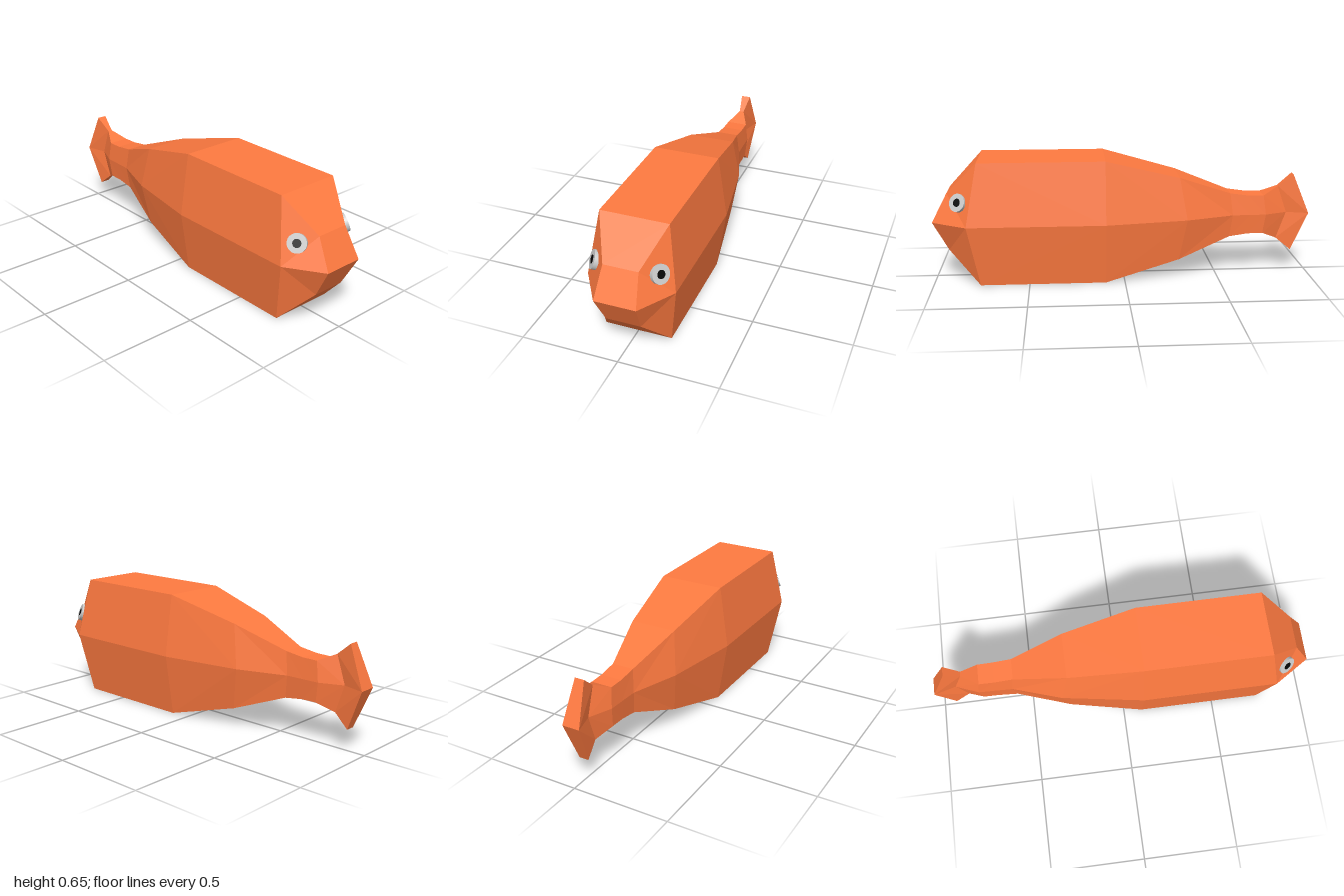
import * as THREE from 'three';

const MID_Y = 0.325;

// Hexagonal sections, nose to tail:
// [half height, ridge half width, ridge z, flank half width, flank z]
const BODY = [
  [0.153, 0.088, 0.92, 0.105, 1.0],
  [0.325, 0.173, 0.755, 0.222, 0.815],
  [0.325, 0.173, 0.10, 0.222, 0.10],
  [0.222, 0.122, -0.29, 0.152, -0.33],
  [0.119, 0.057, -0.57, 0.068, -0.585],
  [0.105, 0.056, -0.67, 0.065, -0.68],
  [0.104, 0.055, -0.75, 0.063, -0.765],
  [0.145, 0.012, -0.835, 0.015, -0.885],
];
const TAIL = [
  BODY[BODY.length - 1],
  [0.21, 0.025, -0.915, 0.046, -1.0],
];

// Skins the sections, mirrored left/right and top/bottom
function loft(sections, capFront, capBack) {
  const pos = [];
  const ridge = (s, x, y) => [x * s[1], MID_Y + y * s[0], s[2]];
  const flank = (s, x) => [x * s[3], MID_Y, s[4]];
  const quad = (a, b, c, d, flip) => {
    const tris = flip ? [a, c, b, a, d, c] : [a, b, c, a, c, d];
    tris.forEach((p) => pos.push(...p));
  };
  for (const y of [1, -1]) {
    for (let i = 0; i < sections.length - 1; i++) {
      const a = sections[i], b = sections[i + 1];
      for (const x of [1, -1]) {
        quad(ridge(a, x, y), flank(a, x), flank(b, x), ridge(b, x, y), x * y < 0);
      }
      quad(ridge(a, -1, y), ridge(a, 1, y), ridge(b, 1, y), ridge(b, -1, y), y < 0);
    }
    const f = sections[0], r = sections[sections.length - 1];
    if (capFront) quad(flank(f, -1), flank(f, 1), ridge(f, 1, y), ridge(f, -1, y), y < 0);
    if (capBack) quad(flank(r, 1), flank(r, -1), ridge(r, -1, y), ridge(r, 1, y), y < 0);
  }
  const geo = new THREE.BufferGeometry();
  geo.setAttribute('position', new THREE.Float32BufferAttribute(pos, 3));
  geo.computeVertexNormals();
  return geo;
}

function disc(name, radius, depth, offset, material) {
  const geo = new THREE.CylinderGeometry(radius, radius, depth, 32);
  geo.translate(0, offset, 0);
  const mesh = new THREE.Mesh(geo, material);
  mesh.name = name;
  return mesh;
}

export function createModel() {
  const group = new THREE.Group();
  group.name = 'fish';
  const orange = new THREE.MeshStandardMaterial({ color: 0xff7a40, flatShading: true });
  const grey = new THREE.MeshStandardMaterial({ color: 0xcccccc });
  const black = new THREE.MeshStandardMaterial({ color: 0x050505 });

  const body = new THREE.Mesh(loft(BODY, true, false), orange);
  body.name = 'body';
  const tail = new THREE.Mesh(loft(TAIL, false, true), orange);
  tail.name = 'tailFin';
  group.add(body, tail);

  // Eyes lie on the slanted cheeks, facing out, up and forward
  for (const side of [1, -1]) {
    const eye = new THREE.Group();
    eye.name = side > 0 ? 'leftEye' : 'rightEye';
    eye.add(disc('eyeWhite', 0.047, 0.022, -0.011, grey));
    eye.add(disc('pupil', 0.021, 0.004, -0.001, black));
    eye.position.set(side * 0.171, 0.447, 0.86);
    const normal = new THREE.Vector3(side * 0.79, 0.35, 0.5).normalize();
    eye.quaternion.setFromUnitVectors(new THREE.Vector3(0, 1, 0), normal);
    group.add(eye);
  }
  return group;
}
